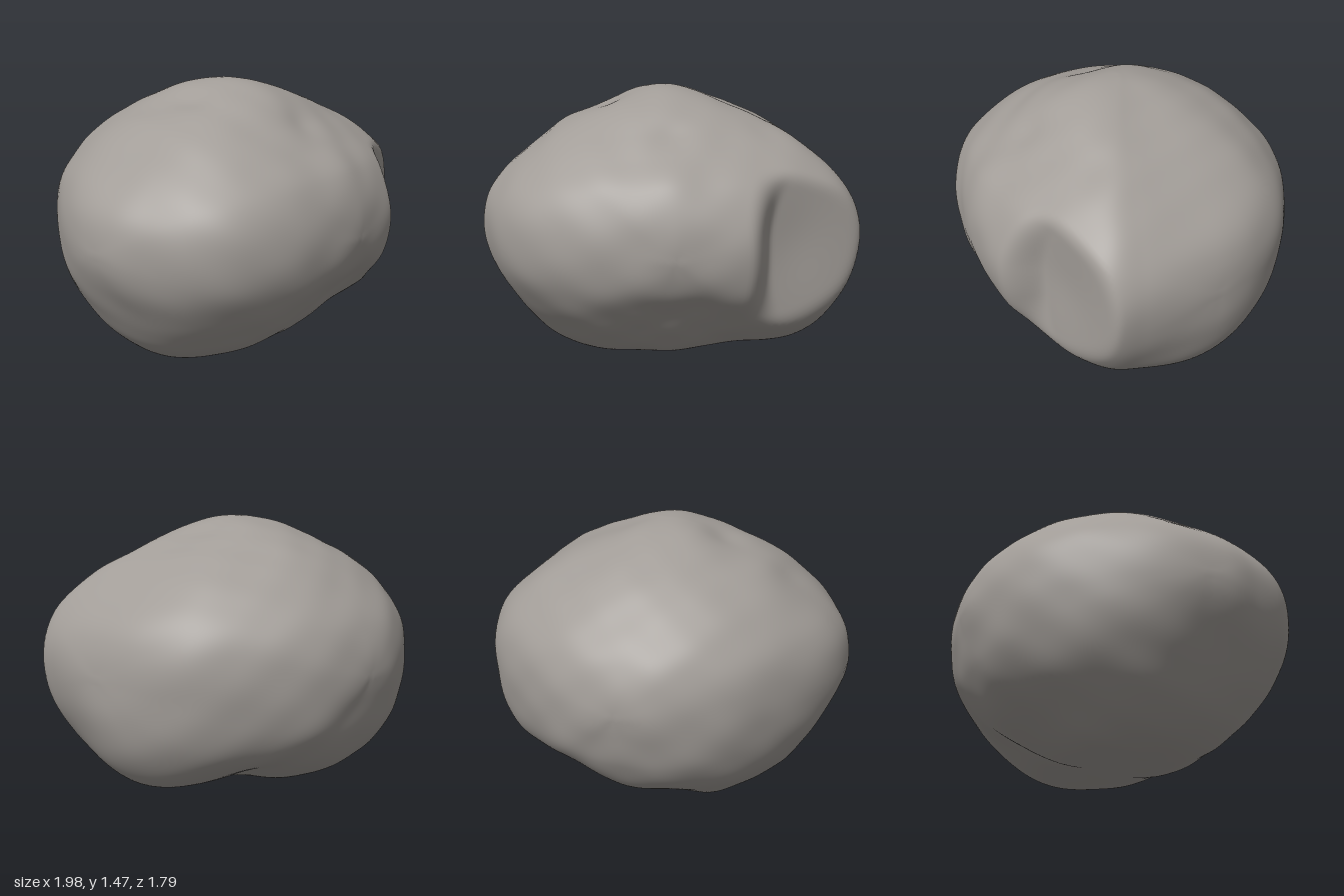
import * as THREE from 'three';
import { mergeVertices } from 'three/addons/utils/BufferGeometryUtils.js';

const CENTRE_Y = 0.75;

// outlines of the rock through its centre: front (x, y), side (z, y), plan (x, z)
const FRONT = [[0.99, 0.75], [0.96, 0.9], [0.9, 1.01], [0.68, 1.2], [0.5, 1.31], [0.27, 1.4], [0, 1.49], [-0.15, 1.46],
  [-0.32, 1.39], [-0.55, 1.3], [-0.68, 1.2], [-0.88, 1.03], [-0.97, 0.9], [-0.99, 0.75], [-0.94, 0.6], [-0.84, 0.4],
  [-0.73, 0.22], [-0.58, 0.09], [-0.38, 0.02], [-0.2, 0.03], [0, 0.07], [0.3, 0.13], [0.57, 0.12], [0.72, 0.14],
  [0.84, 0.22], [0.93, 0.36], [0.99, 0.57]];
const SIDE = [[0.89, 0.75], [0.88, 0.92], [0.8, 1.08], [0.65, 1.2], [0.54, 1.29], [0.36, 1.42], [0.18, 1.48],
  [0, 1.49], [-0.2, 1.45], [-0.52, 1.31], [-0.7, 1.16], [-0.84, 1], [-0.9, 0.8], [-0.87, 0.62], [-0.83, 0.45],
  [-0.71, 0.27], [-0.5, 0.14], [-0.25, 0.05], [0, 0.07], [0.25, 0.07], [0.45, 0.14], [0.6, 0.28], [0.74, 0.47], [0.84, 0.6]];
const PLAN = [[0.98, 0], [1, 0.15], [0.99, 0.4], [0.95, 0.57], [0.75, 0.74], [0.55, 0.83], [0.3, 0.89], [0.05, 0.89],
  [-0.2, 0.86], [-0.45, 0.8], [-0.7, 0.66], [-0.84, 0.5], [-0.94, 0.3], [-1, 0.12], [-0.97, -0.05], [-0.88, -0.28],
  [-0.7, -0.55], [-0.5, -0.74], [-0.2, -0.88], [0, -0.9], [0.22, -0.87], [0.45, -0.77], [0.65, -0.63], [0.82, -0.46],
  [0.93, -0.24]];

// turns a closed outline into a function giving its radius at an angle
function radiusByAngle(points, yOffset) {
  const curve = new THREE.CatmullRomCurve3(points.map(([a, b]) => new THREE.Vector3(a, b - yOffset, 0)), true);
  const polar = curve.getPoints(300).map(p => ({ angle: Math.atan2(p.y, p.x), r: Math.hypot(p.x, p.y) }));
  polar.sort((a, b) => a.angle - b.angle);
  const n = polar.length;
  const ring = [{ angle: polar[n - 1].angle - 2 * Math.PI, r: polar[n - 1].r }, ...polar,
    { angle: polar[0].angle + 2 * Math.PI, r: polar[0].r }];
  return (u, v) => {
    const angle = Math.atan2(v, u);
    let i = 1;
    while (i < ring.length - 1 && ring[i].angle < angle) i++;
    const a = ring[i - 1], b = ring[i];
    const t = (angle - a.angle) / Math.max(b.angle - a.angle, 1e-6);
    return THREE.MathUtils.lerp(a.r, b.r, THREE.MathUtils.clamp(t, 0, 1));
  };
}

// lumps (+) and hollows (-): direction from the centre, height, angular width
const FEATURES = [
  [-0.36, -0.72, -0.34, 0.04, 0.2],    // low keel
  [0.45, -0.55, -0.5, -0.05, 0.35],    // hollow under the back
  [0.1, -0.72, -0.25, -0.015, 0.2],
  [-0.75, 0.08, 0.6, 0.02, 0.3],       // cheek beside the front
  [-0.6, -0.5, 0.5, -0.02, 0.25],
  [0, 0.52, 0.5, -0.015, 0.13],        // dents on the crown
  [0, 0.42, 0.7, 0.012, 0.15],
  [-0.3, 0.65, 0.05, -0.012, 0.15],
  [0.45, 0.55, 0.4, -0.015, 0.15],
].map(([x, y, z, height, width]) => ({ dir: new THREE.Vector3(x, y, z).normalize(), height, width }));

const CRATER = new THREE.Vector3(0.28, 0, 0.96).normalize();
const CRATER_DEPTH = 0.79;

export function createModel() {
  const front = radiusByAngle(FRONT, CENTRE_Y);
  const side = radiusByAngle(SIDE, CENTRE_Y);
  const plan = radiusByAngle(PLAN, 0);

  // lowers a radius to the crater: a shallow floor with a sloping curved wall
  function carveCrater(r, d) {
    const facing = d.dot(CRATER);
    if (facing < 0.2) return r;
    const plane = CRATER_DEPTH / facing;
    const x = d.x * plane, y = d.y * plane;
    const floor = plane - 0.02 * Math.exp(-(((x - 0.62) / 0.2) ** 2 + ((y - 0.02) / 0.25) ** 2));
    // smooth minimum rounds the rim
    const h = Math.max(0.04 - Math.abs(r - floor), 0) / 0.04;
    const carved = Math.min(r, floor) - h * h * 0.01;
    const wall = 0.29 + 0.9 * Math.max(Math.abs(y + 0.03) - 0.08, 0) ** 2;
    return THREE.MathUtils.lerp(r, carved, THREE.MathUtils.smoothstep(x, wall, wall + 0.2));
  }

  function radius(d) {
    // blend the three outlines, each ruling near its own plane
    const wf = 1 / (d.z * d.z + 0.02), ws = 1 / (d.x * d.x + 0.02), wp = 1 / (d.y * d.y + 0.02);
    let r = (wf * front(d.x, d.y) + ws * side(d.z, d.y) + wp * plan(d.x, d.z)) / (wf + ws + wp);
    for (const f of FEATURES) {
      const angle = d.angleTo(f.dir);
      r += f.height * Math.exp(-(angle * angle) / (f.width * f.width));
    }
    // faint unevenness
    r += 0.003 * Math.sin(9 * d.x + 4 * d.y) * Math.sin(8 * d.z - 5 * d.y + 1)
      + 0.002 * Math.sin(19 * d.y + 7 * d.z) * Math.sin(17 * d.x + 2);
    return carveCrater(r, d);
  }

  // fine sphere pushed out to the rock's surface
  let geometry = new THREE.IcosahedronGeometry(1, 50);
  geometry.deleteAttribute('uv');
  geometry.deleteAttribute('normal');
  geometry = mergeVertices(geometry, 1e-5);
  const pos = geometry.attributes.position;
  const d = new THREE.Vector3();
  for (let i = 0; i < pos.count; i++) {
    d.fromBufferAttribute(pos, i).normalize();
    d.multiplyScalar(radius(d));
    pos.setXYZ(i, d.x, d.y, d.z);
  }

  // stand it on the ground
  geometry.computeBoundingBox();
  geometry.translate(0, -geometry.boundingBox.min.y, 0);
  geometry.computeVertexNormals();

  const rock = new THREE.Mesh(geometry, new THREE.MeshStandardMaterial({ color: 0xa29d98 }));
  rock.name = 'rock';
  const model = new THREE.Group();
  model.name = 'asteroid';
  model.add(rock);
  return model;
}
